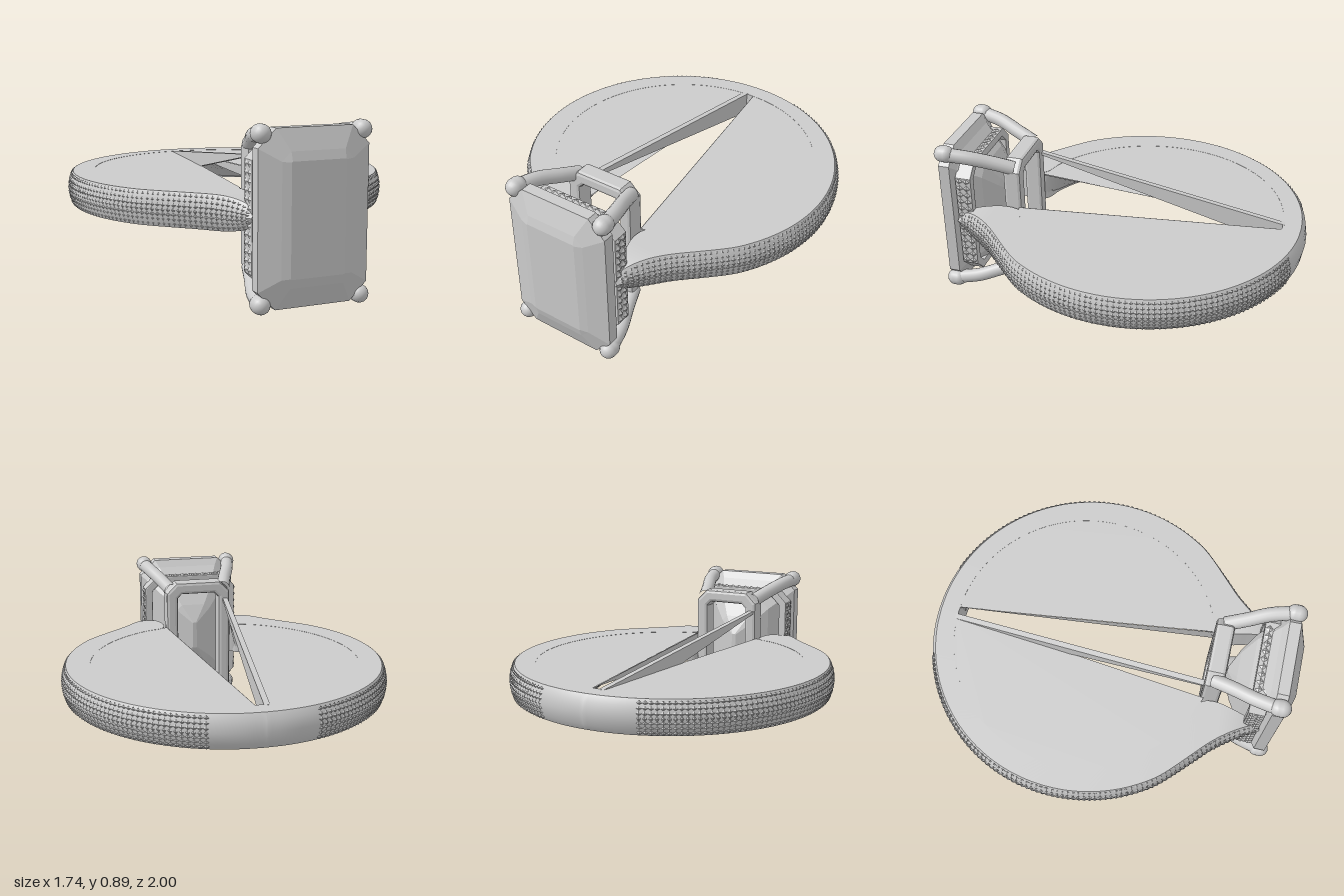
import * as THREE from 'three';
import { mergeGeometries, toCreasedNormals } from 'three/addons/utils/BufferGeometryUtils.js';

const CY = 0.446; // mid height of band and setting
const INNER = { r: 0.717, z: -0.153 }; // finger circle
const rad = THREE.MathUtils.degToRad;
const metal = new THREE.MeshStandardMaterial({ color: 0xcccccc });
const faceted = new THREE.MeshStandardMaterial({ color: 0xcccccc, flatShading: true });
const thin = new THREE.MeshStandardMaterial({ color: 0xcccccc, side: THREE.DoubleSide });

function add(parent, name, geometry, material = metal) {
  const mesh = new THREE.Mesh(geometry, material);
  mesh.name = name;
  parent.add(mesh);
  return mesh;
}

// Skin over equal-length rings of [x, y, z], with capped ends
function loft(rings) {
  const n = rings[0].length, index = [];
  for (let i = 0; i < rings.length - 1; i++) {
    for (let j = 0; j < n; j++) {
      const a = i * n + j, b = i * n + (j + 1) % n;
      index.push(a, b, b + n, a, b + n, a + n);
    }
  }
  const last = (rings.length - 1) * n;
  for (let j = 1; j < n - 1; j++) index.push(0, j + 1, j, last, last + j, last + j + 1);
  const g = new THREE.BufferGeometry();
  g.setAttribute('position', new THREE.Float32BufferAttribute(rings.flat(2), 3));
  g.setIndex(index);
  g.computeVertexNormals();
  return g;
}

// Rectangle with cut corners, counter-clockwise
function octagon(hx, hy, c) {
  return [[hx, -hy + c], [hx, hy - c], [hx - c, hy], [-hx + c, hy],
    [-hx, hy - c], [-hx, -hy + c], [-hx + c, -hy], [hx - c, -hy]];
}

// Open octagonal frame between two depths
function frame(hx, hy, cut, bar, z0, z1, bevel) {
  const toPts = (p) => p.map(([x, y]) => new THREE.Vector2(x, y));
  const shape = new THREE.Shape(toPts(octagon(hx - bevel, hy - bevel, cut)));
  shape.holes.push(new THREE.Path(toPts(octagon(hx - bar + bevel, hy - bar + bevel, cut * 0.7))));
  const g = new THREE.ExtrudeGeometry(shape, {
    depth: z1 - z0 - 2 * bevel, bevelSize: bevel, bevelThickness: bevel, bevelSegments: 2,
  });
  return g.translate(0, CY, z0 + bevel);
}

// Plan-view curve: an arc around the finger, then the shoulder points
function planCurve(r, cz, endAngle, shoulder) {
  const pts = [];
  for (let i = 0; i <= 20; i++) {
    const a = rad(-90 + (endAngle + 90) * i / 20);
    pts.push(new THREE.Vector3(r * Math.cos(a), 0, cz + r * Math.sin(a)));
  }
  shoulder.forEach(([x, z]) => pts.push(new THREE.Vector3(x, 0, z)));
  return new THREE.CatmullRomCurve3(pts);
}

const outer = planCurve(0.867, -0.131, 37,
  [[0.55, 0.535], [0.44, 0.64], [0.36, 0.74], [0.31, 0.82], [0.285, 0.87]]);
const inner = planCurve(INNER.r, INNER.z, 72, [[0.2, 0.6], [0.225, 0.73], [0.262, 0.865]]);
const halfHeight = (z) => 0.0885 * Math.sqrt(Math.max(0.01, 1 - Math.max(0, (z - 0.66) / 0.215) ** 2));

function bandGeometry() {
  // [inset from the outer curve, height fraction]
  const profile = [[0.03, -1], [0.01, -0.65], [0, 0], [0.01, 0.65], [0.03, 1]];
  const rings = [];
  for (let i = 0; i <= 120; i++) {
    const o = outer.getPointAt(i / 120), n = inner.getPointAt(i / 120);
    const h = halfHeight(o.z), width = o.distanceTo(n);
    const ring = [[n.x, CY - h, n.z]];
    profile.forEach(([d, v]) => {
      const p = o.clone().lerp(n, Math.min(0.9, d / width));
      ring.push([p.x, CY + v * h, p.z]);
    });
    ring.push([n.x, CY + h, n.z]);
    rings.push(ring);
  }
  return toCreasedNormals(loft(rings), 0.6);
}

// Rows of tiny stones over the outside of half the band
function bandStones() {
  const parts = [], count = 90;
  for (let i = 10; i < count; i++) {
    const u = i / count, p = outer.getPointAt(u), t = outer.getTangentAt(u);
    const h = halfHeight(p.z);
    for (let row = -3; row <= 3; row++) {
      const g = new THREE.OctahedronGeometry(0.0145);
      g.scale(1, 0.9 * h / 0.0885, 0.45);
      g.rotateY(Math.atan2(t.z, -t.x));
      const inset = 0.002 + 0.0016 * row * row;
      parts.push(g.translate(p.x - t.z * inset, CY + row * 0.27 * h, p.z + t.x * inset));
    }
  }
  return mergeGeometries(parts);
}

// Two rows of small stones around the gallery walls
function galleryStones(hx, hy) {
  const parts = [];
  const put = (x, y, z, sx, sy) =>
    parts.push(new THREE.OctahedronGeometry(0.02).scale(sx, sy, 1).translate(x, CY + y, z));
  for (const z of [0.8, 0.84]) {
    for (const s of [-1, 1]) {
      for (let i = -4; i <= 4; i++) put(i * 0.042, s * hy, z, 1, 0.5);
      for (let i = -6; i <= 6; i++) put(s * hx, i * 0.042, z, 0.5, 1);
    }
  }
  return mergeGeometries(parts);
}

// Flat web filling one side of the finger hole
function webGeometry() {
  const shape = new THREE.Shape();
  shape.absarc(0, INNER.z, INNER.r + 0.004, rad(-88), rad(74.5), false);
  return new THREE.ShapeGeometry(shape, 48).rotateX(Math.PI / 2).translate(0, CY + 0.0875, 0);
}

// Sloping underside from the lower rim up to the free edge of the web
function undersideGeometry() {
  const g = new THREE.PlaneGeometry(1, 1, 48, 1), pos = g.attributes.position;
  for (let i = 0; i < pos.count; i++) {
    const t = pos.getX(i) + 0.5, a = rad(-88 + 162.5 * t), r = INNER.r + 0.01;
    if (pos.getY(i) > 0) pos.setXYZ(i, r * Math.cos(a), CY - 0.087, INNER.z + r * Math.sin(a));
    else pos.setXYZ(i, 0.025 + 0.167 * t, CY + 0.085, -0.87 + 1.41 * t);
  }
  g.computeVertexNormals();
  return g;
}

export function createModel() {
  const model = new THREE.Group();
  model.name = 'ring';

  // Band halves with stones and webs
  const band = bandGeometry(), stones = bandStones(), web = webGeometry(), underside = undersideGeometry();
  for (const s of [1, -1]) {
    const half = new THREE.Group();
    half.name = s > 0 ? 'leftBandHalf' : 'rightBandHalf';
    half.scale.x = s;
    add(half, 'band', band);
    add(half, 'bandStones', stones, faceted);
    add(half, 'web', web, thin);
    add(half, 'webUnderside', underside, thin);
    model.add(half);
  }

  // Slender wedge rising from the back of the band to the rear rail
  add(model, 'risingStrut', loft([
    [[-0.045, 0.4, -0.88], [-0.02, 0.4, -0.88], [-0.015, 0.535, -0.88], [-0.045, 0.535, -0.88]],
    [[-0.18, 0.685, 0.54], [-0.15, 0.685, 0.54], [-0.15, 0.7, 0.54], [-0.18, 0.7, 0.54]],
  ]), new THREE.MeshStandardMaterial({ color: 0xcccccc, flatShading: true, side: THREE.DoubleSide }));

  // Fold hanging from the free edge of the left web
  const fold = new THREE.BufferGeometry();
  fold.setAttribute('position', new THREE.Float32BufferAttribute(
    [0.024, 0.533, -0.87, 0.19, 0.533, 0.54, 0.2, 0.42, 0.53], 3));
  fold.computeVertexNormals();
  add(model, 'webFold', fold, thin);

  // Step-cut centre stone: half width, half height, corner cut, depth
  const steps = [[0.012, 0.08, 0.004, 0.64], [0.1, 0.18, 0.03, 0.69], [0.175, 0.28, 0.05, 0.755],
    [0.255, 0.385, 0.08, 0.86], [0.288, 0.425, 0.09, 0.89], [0.288, 0.425, 0.09, 0.95],
    [0.185, 0.32, 0.045, 0.988], [0.142, 0.275, 0.004, 1]];
  add(model, 'centreStone', loft(steps.map(([hx, hy, c, z]) =>
    octagon(hx, hy, c).map(([x, y]) => [x, CY + y, z]))), faceted);

  // Setting: stone-lined gallery and rear rail
  add(model, 'gallery', frame(0.28, 0.345, 0.07, 0.045, 0.775, 0.865, 0.006));
  add(model, 'galleryStones', galleryStones(0.28, 0.345), faceted);
  add(model, 'rearRail', frame(0.192, 0.357, 0.05, 0.07, 0.525, 0.625, 0.018));

  // Four corner prongs, bowed outward, with rounded tips
  const path = new THREE.CatmullRomCurve3([[0.16, 0.31, 0.57], [0.195, 0.345, 0.68],
    [0.235, 0.378, 0.79], [0.26, 0.395, 0.9]].map((p) => new THREE.Vector3(...p)));
  const prong = new THREE.TubeGeometry(path, 16, 0.038, 14);
  const tip = new THREE.CapsuleGeometry(0.0455, 0.02, 6, 16).rotateX(Math.PI / 2).translate(0.262, 0.4, 0.92);
  for (const sx of [1, -1]) {
    for (const sy of [1, -1]) {
      const corner = new THREE.Group();
      corner.name = (sy > 0 ? 'upper' : 'lower') + (sx > 0 ? 'Left' : 'Right') + 'Prong';
      corner.scale.set(sx, sy, 1);
      corner.position.y = CY;
      add(corner, 'prongArm', prong);
      add(corner, 'prongTip', tip);
      model.add(corner);
    }
  }
  return model;
}
